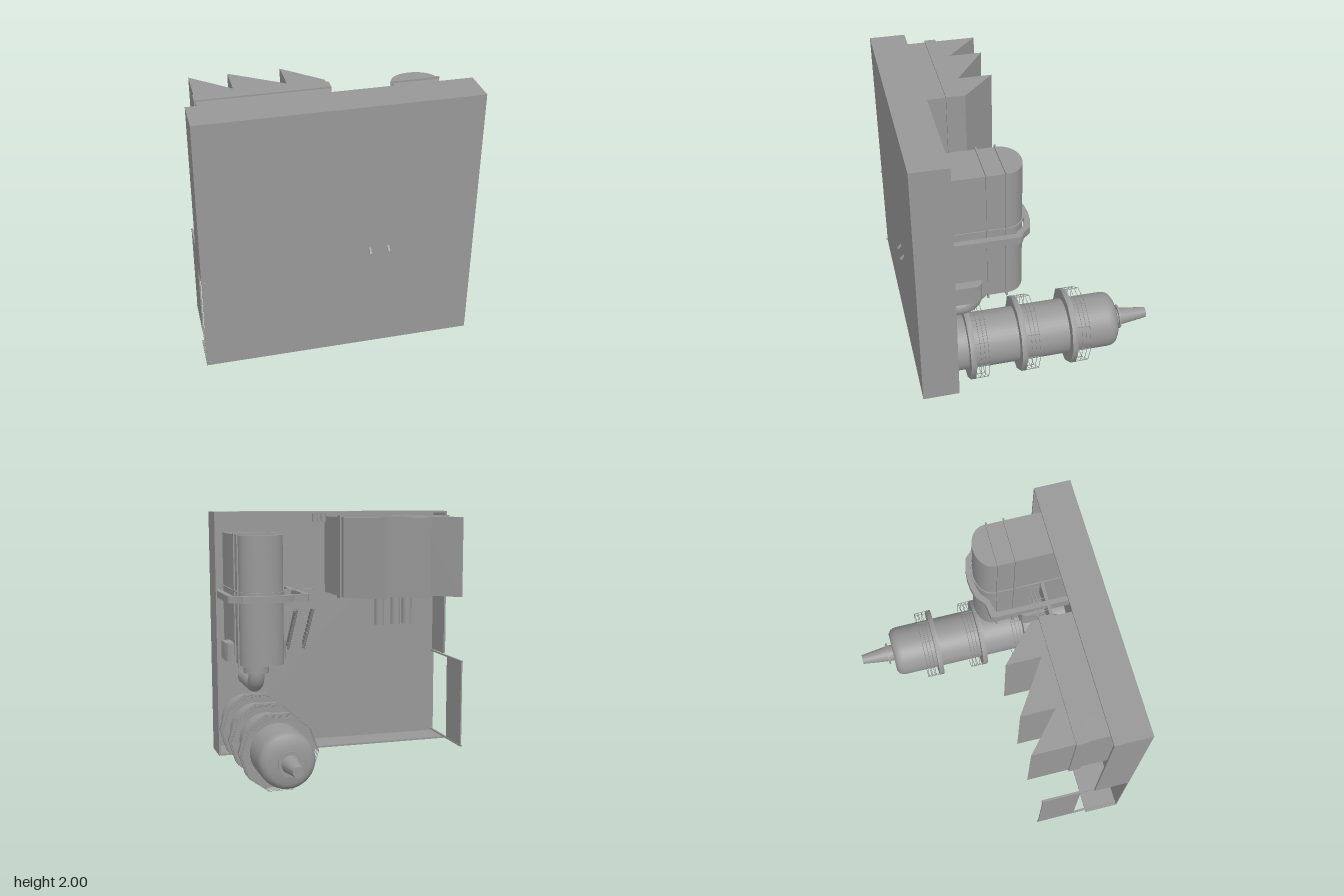
import * as THREE from 'three';
import { toCreasedNormals } from 'three/addons/utils/BufferGeometryUtils.js';

const grey = new THREE.MeshStandardMaterial({ color: 0x989898, side: THREE.DoubleSide });

export function createModel() {
  const model = new THREE.Group();

  const add = (name, geometry, parent = model) => {
    const mesh = new THREE.Mesh(geometry, grey);
    mesh.name = name;
    parent.add(mesh);
    return mesh;
  };
  const group = (name) => {
    const g = new THREE.Group();
    g.name = name;
    model.add(g);
    return g;
  };
  // box given by its limits on each axis
  const box = (name, x0, x1, y0, y1, z0, z1, parent) =>
    add(name, new THREE.BoxGeometry(x1 - x0, y1 - y0, z1 - z0)
      .translate((x0 + x1) / 2, (y0 + y1) / 2, (z0 + z1) / 2), parent);
  // plan outline of [x, z] points raised from y0 to y1
  const prism = (name, points, y0, y1, parent) => {
    const shape = new THREE.Shape(points.map(([x, z]) => new THREE.Vector2(x, -z)));
    const g = new THREE.ExtrudeGeometry(shape, { depth: y1 - y0, bevelEnabled: false });
    return add(name, toCreasedNormals(g.rotateX(-Math.PI / 2).translate(0, y0, 0), 0.5), parent);
  };
  // straight square bar between two points
  const zAxis = new THREE.Vector3(0, 0, 1);
  const bar = (name, a, b, w, parent) => {
    const p = new THREE.Vector3(...a), q = new THREE.Vector3(...b);
    const m = add(name, new THREE.BoxGeometry(w, w, p.distanceTo(q)), parent);
    m.position.copy(p).add(q).multiplyScalar(0.5);
    m.quaternion.setFromUnitVectors(zAxis, q.sub(p).normalize());
  };

  // ground plate with low perimeter walls, gateway in the -x wall
  const yard = group('yard');
  box('groundPlate', -1, 0.98, 0.03, 2, 0.867, 0.875, yard);
  box('topWall', -1, 0.98, 1.985, 2, 0.605, 0.875, yard);
  box('bottomWall', -1, 0.98, 0.03, 0.045, 0.605, 0.875, yard);
  box('sideWall', 0.965, 0.98, 0.03, 2, 0.605, 0.875, yard);
  box('gateWall', -1, -0.985, 0.78, 2, 0.605, 0.875, yard);

  // raised gate panel in its two guide rails
  const gate = group('gate');
  box('gatePanel', -0.983, -0.972, 0.06, 0.775, 0.2, 0.5, gate);
  for (const y of [0.06, 0.772]) box('gateRail', -0.985, -0.969, y - 0.006, y + 0.006, 0.19, 0.885, gate);

  // storage tank lying along z
  const tank = group('tank');
  tank.position.set(0.703, 0.276, 0);
  const profile = [[0, -0.86], [0.207, -0.86], [0.207, 0.57], [0.203, 0.6], [0.19, 0.625], [0.16, 0.645],
    [0.068, 0.645], [0.068, 0.68], [0.09, 0.68], [0.09, 0.695], [0.066, 0.695], [0.039, 0.91], [0, 0.91]]
    .map(([r, h]) => new THREE.Vector2(r, h));
  add('tankShell', toCreasedNormals(new THREE.LatheGeometry(profile, 40).rotateX(-Math.PI / 2), 0.6), tank);

  // ten-sided walkways with guard rails
  const R = 0.29;
  const corner = (i) => [Math.cos(i * Math.PI / 5), Math.sin(i * Math.PI / 5)];
  for (const z of [0.47, 0.088, -0.295]) {
    const shape = new THREE.Shape();
    const hole = new THREE.Path();
    for (let i = 0; i < 10; i++) {
      const [c, s] = corner(i);
      shape[i ? 'lineTo' : 'moveTo'](R * c, R * s);
    }
    hole.absarc(0, 0, 0.205, 0, Math.PI * 2, true);
    shape.holes.push(hole);
    const ring = new THREE.ExtrudeGeometry(shape, { depth: 0.04, bevelEnabled: false }).translate(0, 0, z);
    add('walkway', toCreasedNormals(ring, 0.8), tank);
    for (const h of [0.035, 0.065, 0.095])
      add('guardRail', new THREE.TorusGeometry(R - 0.004, 0.002, 4, 10).translate(0, 0, z - h), tank);
    for (let i = 0; i < 10; i++) {
      const [c, s] = corner(i), r = R - 0.004;
      bar('railPost', [r * c, r * s, z], [r * c, r * s, z - 0.095], 0.004, tank);
    }
  }

  // tower with a rounded back
  const tower = group('tower');
  const towerPlan = (grow) => {
    const pts = [[0.7 + 0.172 + grow, 0.87], [0.7 - 0.172 - grow, 0.87]];
    for (let i = 0; i <= 20; i++) {
      const a = Math.PI * i / 20;
      pts.push([0.7 - (0.172 + grow) * Math.cos(a), 0.21 - (0.13 + grow) * Math.sin(a)]);
    }
    return pts;
  };
  prism('towerBody', towerPlan(0), 0.835, 1.83, tower);
  prism('towerBand', towerPlan(0.01), 1.39, 1.4, tower);
  for (const z of [0.218, 0.35]) box('towerRib', 0.517, 0.883, 0.815, 1.845, z, z + 0.012, tower);
  // housing across the foot of the tower
  prism('footHousing', [[0.455, 0.62], [0.455, 0.45], [0.47, 0.42], [0.5, 0.405], [0.9, 0.405],
    [0.925, 0.42], [0.94, 0.45], [0.94, 0.62]], 0.837, 0.98, tower);

  // square duct wrapping the tower
  prism('wrapDuct', [[0.335, 0.87], [0.335, 0.15], [0.35, 0.13], [0.46, 0.115], [0.53, 0.06], [0.62, 0.038],
    [0.7, 0.032], [0.78, 0.038], [0.87, 0.06], [0.92, 0.115], [0.955, 0.13], [0.97, 0.15], [0.97, 0.87],
    [0.925, 0.87], [0.925, 0.17], [0.9, 0.155], [0.86, 0.11], [0.78, 0.08], [0.7, 0.072], [0.62, 0.08],
    [0.55, 0.1], [0.49, 0.15], [0.39, 0.17], [0.375, 0.19], [0.375, 0.87]], 1.325, 1.378);

  // outlet elbow below the tower
  const elbow = group('outletPipe');
  add('pipeCollar', new THREE.CylinderGeometry(0.1, 0.1, 0.105, 28).translate(0.7, 0.79, 0.425), elbow);
  const path = new THREE.CurvePath();
  const v = (y, z) => new THREE.Vector3(0.7, y, z);
  path.add(new THREE.LineCurve3(v(0.8, 0.425), v(0.735, 0.425)));
  path.add(new THREE.QuadraticBezierCurve3(v(0.735, 0.425), v(0.627, 0.425), v(0.627, 0.54)));
  path.add(new THREE.LineCurve3(v(0.627, 0.54), v(0.627, 0.87)));
  add('elbowPipe', new THREE.TubeGeometry(path, 40, 0.064, 20), elbow);

  // hall with a sawtooth roof and an eaves band
  const hall = group('hall');
  prism('sawtoothHall', [[-0.915, 0.87], [-0.915, 0.07], [-0.64, 0.315], [-0.64, 0.07], [-0.265, 0.32],
    [-0.265, 0.07], [0.004, 0.32], [0.004, 0.87]], 1.32, 1.957, hall);
  box('eavesBand', -0.925, 0.017, 1.308, 1.968, 0.375, 0.46, hall);
  for (const x of [-0.36, -0.5, -0.6])
    add('wallVent', new THREE.CylinderGeometry(0.04, 0.04, 0.26, 16).translate(x, 1.2, 0.5), hall);

  // landing and stairs between hall and tower
  const stairs = group('stairs');
  box('landing', 0.2, 0.53, 1.21, 1.38, 0.56, 0.585, stairs);
  const foot = [0.845, 0.9], head = [1.22, 0.575], steps = 10;
  const along = (t) => [foot[0] + t * (head[0] - foot[0]), foot[1] + t * (head[1] - foot[1])];
  for (const x of [0.205, 0.34]) {
    bar('stringer', [x, ...foot], [x, ...head], 0.014, stairs);
    for (const h of [0.035, 0.065, 0.095])
      bar('stairRail', [x, foot[0], foot[1] - h], [x, head[0], head[1] - h], 0.004, stairs);
    for (const t of [0.15, 0.4, 0.65, 0.9]) {
      const [y, z] = along(t);
      bar('stairPost', [x, y, z], [x, y, z - 0.095], 0.004, stairs);
    }
  }
  for (let i = 1; i < steps; i++) {
    const [y, z] = along((i + 0.5) / steps);
    box('tread', 0.205, 0.34, y - 0.015, y + 0.015, z - 0.003, z + 0.003, stairs);
  }
  for (const h of [0.03, 0.06, 0.09]) {
    bar('landingRail', [0.202, 1.378, 0.56 - h], [0.53, 1.378, 0.56 - h], 0.004, stairs);
    bar('landingRail', [0.345, 1.212, 0.56 - h], [0.53, 1.212, 0.56 - h], 0.004, stairs);
    bar('landingRail', [0.202, 1.212, 0.56 - h], [0.202, 1.378, 0.56 - h], 0.004, stairs);
  }
  for (const [x, y] of [[0.202, 1.212], [0.202, 1.378], [0.3, 1.378], [0.4, 1.378], [0.5, 1.378], [0.345, 1.212], [0.45, 1.212]])
    bar('landingPost', [x, y, 0.56], [x, y, 0.47], 0.004, stairs);

  // short pipe stubs by the top wall
  for (const x of [0.08, 0.15])
    add('pipeStub', new THREE.CylinderGeometry(0.024, 0.024, 0.07, 12).translate(x, 1.95, 0.64));

  return model;
}
